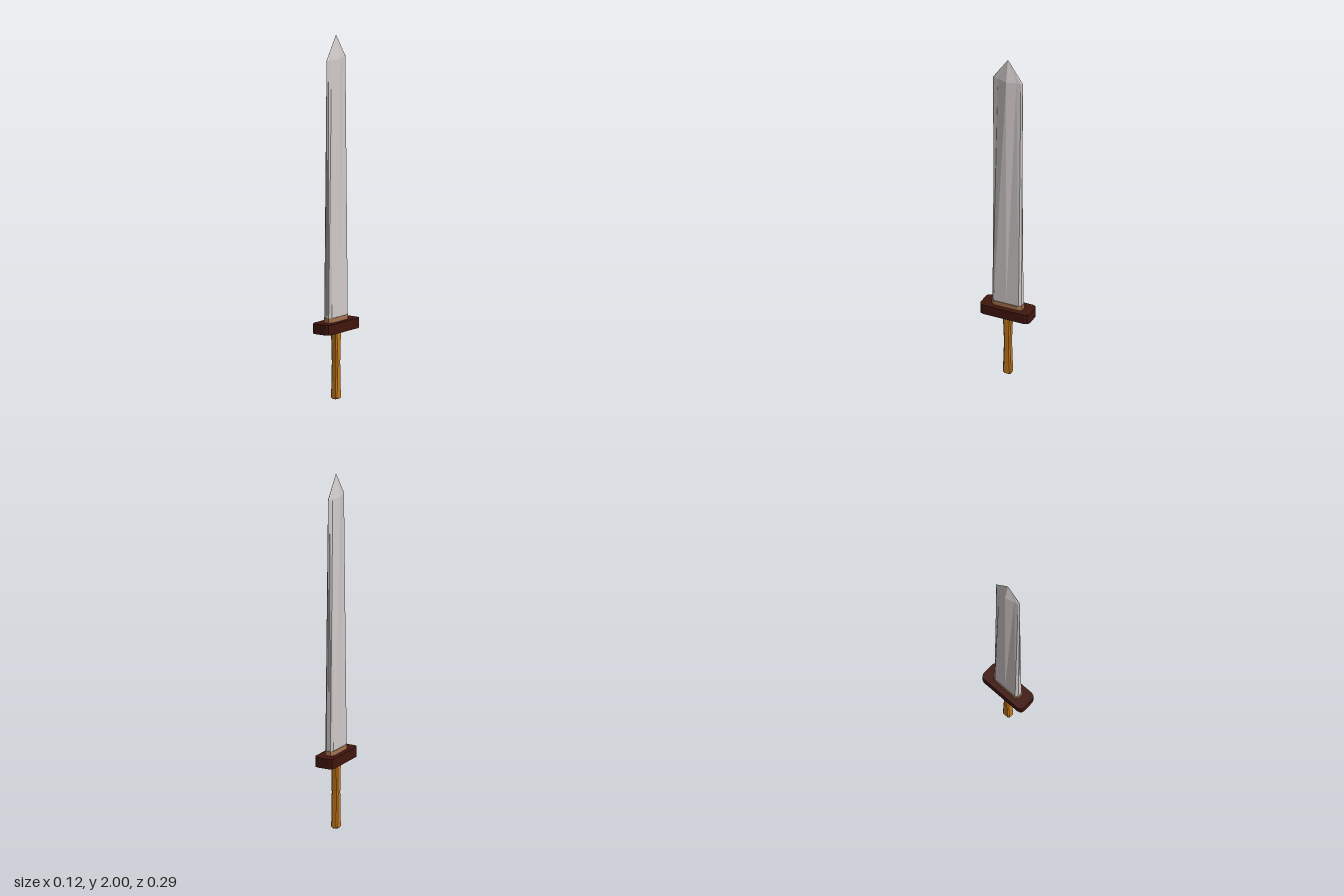
import * as THREE from 'three';

// Mirrors one quadrant of [x, z] points, from the x axis to the z axis, into a full ring.
function mirrorRing(quadrant) {
  const back = [...quadrant].reverse();
  const turn = (points, sx, sz) => points.slice(0, -1).map(([x, z]) => [x * sx, z * sz]);
  return [
    ...turn(quadrant, 1, 1), ...turn(back, -1, 1),
    ...turn(quadrant, -1, -1), ...turn(back, 1, -1),
  ];
}

// Quarter outline of a rectangle with cut corners.
const cutCorner = (hx, hz, cx, cz) => [[hx, 0], [hx, hz - cz], [hx - cx, hz], [0, hz]];

// Flat-shaded skin through sections of { y, quadrant }, closed at both ends.
function loft(name, color, sections) {
  const rings = sections.map(({ y, quadrant }) =>
    mirrorRing(quadrant).map(([x, z]) => [x, y, z]));
  const n = rings[0].length;
  const positions = [];
  const tri = (...corners) => corners.forEach((p) => positions.push(...p));
  for (let r = 0; r < rings.length - 1; r++) {
    for (let i = 0; i < n; i++) {
      const j = (i + 1) % n;
      const low = rings[r], high = rings[r + 1];
      tri(low[i], high[i], low[j]);
      tri(low[j], high[i], high[j]);
    }
  }
  const first = rings[0], last = rings[rings.length - 1];
  for (let i = 0; i < n; i++) {
    const j = (i + 1) % n;
    tri([0, first[0][1], 0], first[i], first[j]);
    tri([0, last[0][1], 0], last[j], last[i]);
  }
  const geometry = new THREE.BufferGeometry();
  geometry.setAttribute('position', new THREE.Float32BufferAttribute(positions, 3));
  geometry.computeVertexNormals();
  const mesh = new THREE.Mesh(geometry, new THREE.MeshStandardMaterial({ color, flatShading: true }));
  mesh.name = name;
  return mesh;
}

export function createModel() {
  const sword = new THREE.Group();
  sword.name = 'sword';

  // Blade: thick cut rectangle at the root, ridged diamond at the shoulder, then the point
  const shoulder = [[0.025, 0], [0.01, 0.055], [0.006, 0.079], [0, 0.088]];
  sword.add(loft('blade', 0xd2caca, [
    { y: 0.45, quadrant: cutCorner(0.025, 0.086, 0.012, 0.012) },
    { y: 1.87, quadrant: shoulder },
    { y: 2, quadrant: shoulder.map(([x, z]) => [x * 0.002, z * 0.002]) },
  ]));

  // Collar at the blade root
  const collar = cutCorner(0.029, 0.091, 0.013, 0.02);
  sword.add(loft('collar', 0xa5744f, [
    { y: 0.425, quadrant: collar },
    { y: 0.455, quadrant: collar },
  ]));

  // Crossguard with rounded corners
  const guard = [[0.058, 0], [0.058, 0.122], [0.051, 0.14], [0.034, 0.147], [0, 0.147]];
  sword.add(loft('guard', 0x40150d, [
    { y: 0.374, quadrant: guard },
    { y: 0.43, quadrant: guard },
  ]));

  // Grip: waisted in depth, with a small bevel at the butt
  const gripProfile = [[0, 0.016, 0.02], [0.008, 0.02, 0.025], [0.1, 0.02, 0.021],
    [0.2, 0.02, 0.018], [0.29, 0.02, 0.021], [0.376, 0.02, 0.026]];
  sword.add(loft('grip', 0xc67a20, gripProfile.map(([y, hx, hz]) =>
    ({ y, quadrant: cutCorner(hx, hz, 0.007, 0.007) }))));

  return sword;
}
